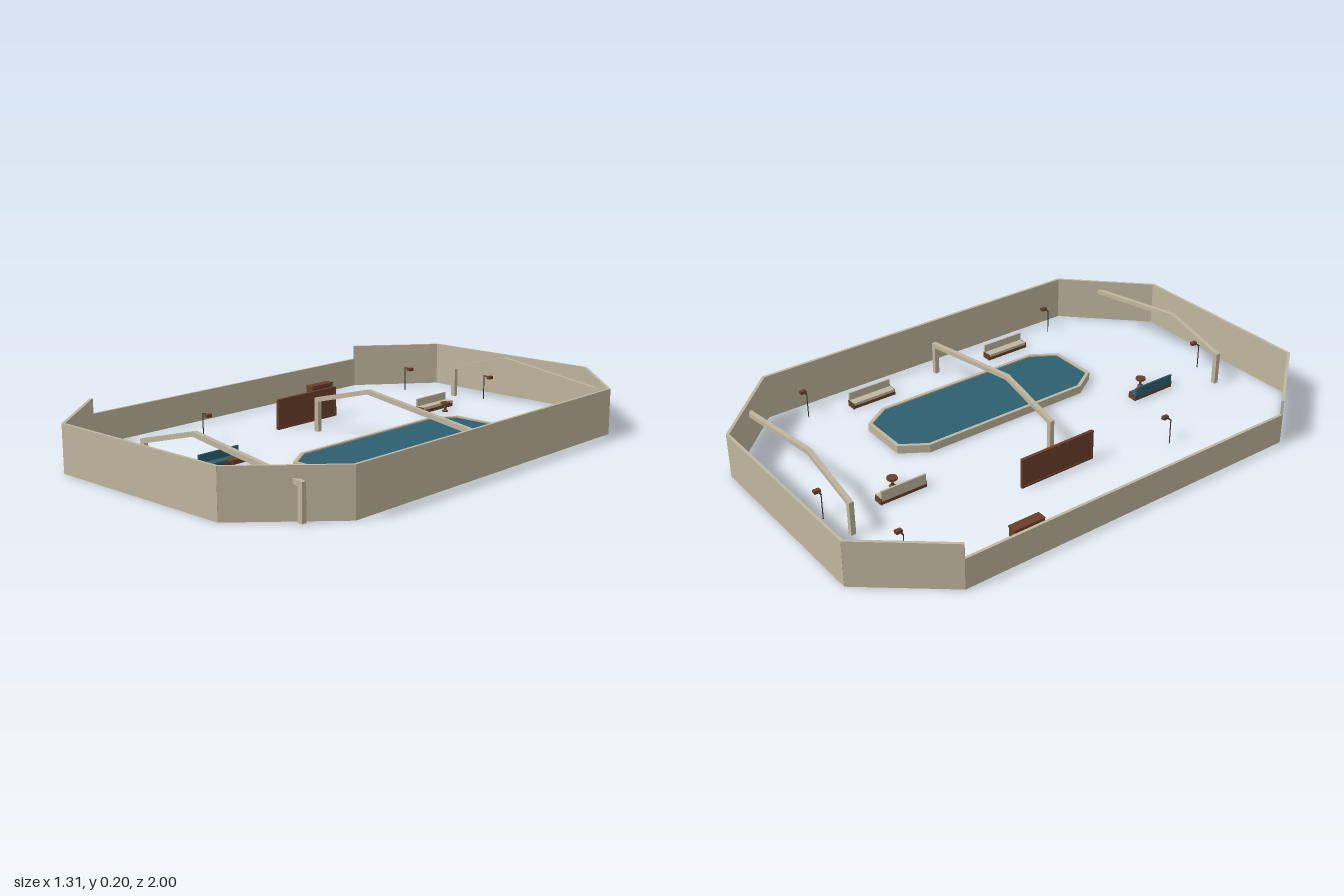
import * as THREE from 'three';

export function createModel() {
  const root = new THREE.Group();
  root.name = 'courtyard';
  const mat = (name, color) => {
    const m = new THREE.MeshStandardMaterial({ color });
    m.name = name;
    return m;
  };
  const stone = mat('beige stone', 0xc0b69e);
  const teal = mat('teal', 0x2d6070);
  const wood = mat('brown wood', 0x6b3f29);
  const dark = mat('dark metal', 0x3a342e);

  const add = (parent, name, geo, m, x = 0, y = 0, z = 0) => {
    const mesh = new THREE.Mesh(geo, m);
    mesh.name = name;
    mesh.position.set(x, y, z);
    parent.add(mesh);
    return mesh;
  };
  // Box placed by its base height
  const box = (parent, name, m, w, h, d, x, y, z) =>
    add(parent, name, new THREE.BoxGeometry(w, h, d), m, x, y + h / 2, z);
  const group = (name, x = 0, z = 0) => {
    const g = new THREE.Group();
    g.name = name;
    g.position.set(x, 0, z);
    root.add(g);
    return g;
  };

  // Octagonal boundary wall; the -x side is lower
  const ring = [[-0.41, -0.994], [0.36, -0.994], [0.648, -0.705], [0.648, 0.705],
    [0.36, 0.994], [-0.41, 0.994], [-0.648, 0.705], [-0.648, -0.705]];
  const wall = group('boundaryWall');
  ring.forEach(([x, z], i) => {
    const [x2, z2] = ring[(i + 1) % ring.length];
    const len = Math.hypot(x2 - x, z2 - z);
    const panel = box(wall, 'wallPanel', stone, len + 0.004, i === 6 ? 0.118 : 0.175, 0.011,
      (x + x2) / 2, 0, (z + z2) / 2);
    panel.rotation.y = -Math.atan2(z2 - z, x2 - x);
  });

  // Pool with chamfered corners
  const octagon = (inset, Type) => {
    const w = 0.1635 - inset, l = 0.453 - inset;
    const cx = 0.065 - inset * 0.45, cz = 0.1 - inset * 0.6;
    const pts = [[-w + cx, -l], [w - cx, -l], [w, -l + cz], [w, l - cz],
      [w - cx, l], [-w + cx, l], [-w, l - cz], [-w, -l + cz]];
    return new Type(pts.map(([x, y]) => new THREE.Vector2(x, y)));
  };
  const slab = (shape, depth) =>
    new THREE.ExtrudeGeometry(shape, { depth, bevelEnabled: false }).rotateX(-Math.PI / 2);
  const pool = group('pool', 0.2315, 0);
  const rim = octagon(0, THREE.Shape);
  rim.holes.push(octagon(0.013, THREE.Path));
  add(pool, 'poolRim', slab(rim, 0.032), stone);
  add(pool, 'poolFloor', slab(octagon(0.012, THREE.Shape), 0.018), stone);
  add(pool, 'water', slab(octagon(0.013, THREE.Shape), 0.005), teal, 0, 0.022, 0);

  // Three bent arches, each swept from one foot to the other
  const path = [[-0.187, 0], [-0.187, 0.121], [0.07, 0.191], [0.55, 0.121], [0.55, 0]];
  const archShape = new THREE.Shape();
  const outer = [[-0.197, 0], [-0.197, 0.13], [0.07, 0.2], [0.56, 0.13], [0.56, 0]];
  const inner = [[0.541, 0], [0.541, 0.115], [0.07, 0.183], [-0.178, 0.117], [-0.178, 0]];
  [...outer, ...inner].forEach(([x, y], i) => (i ? archShape.lineTo(x, y) : archShape.moveTo(x, y)));
  for (const z of [-0.835, 0, 0.832]) {
    const geo = new THREE.ExtrudeGeometry(archShape, { depth: 0.018, bevelEnabled: false });
    geo.translate(0, 0, -0.009);
    add(root, 'arch', geo, stone, 0, 0, z);
  }

  // Benches; side gives the direction of the backrest
  const bench = (x, z, side, m) => {
    const g = group('bench', x, z);
    box(g, 'benchBase', wood, 0.036, 0.014, 0.18, 0, 0, 0);
    box(g, 'seat', m, 0.04, 0.011, 0.182, 0, 0.014, 0);
    box(g, 'backrest', m, 0.007, 0.03, 0.182, side * 0.0165, 0.025, 0);
    for (const s of [-1, 1]) box(g, 'benchEnd', wood, 0.04, 0.024, 0.004, 0, 0, s * 0.092);
  };
  bench(-0.09, -0.58, -1, stone);
  bench(-0.09, 0.577, -1, teal);
  bench(0.517, -0.323, 1, stone);
  bench(0.517, 0.32, 1, stone);

  // Round tables beside the inner benches
  for (const z of [-0.58, 0.577]) {
    const g = group('roundTable', -0.033, z);
    const profile = [[0, 0], [0.012, 0], [0.012, 0.004], [0.005, 0.008], [0.005, 0.03],
      [0.02, 0.031], [0.02, 0.038], [0, 0.038]].map(([x, y]) => new THREE.Vector2(x, y));
    const geo = new THREE.LatheGeometry(profile, 12).toNonIndexed();
    geo.computeVertexNormals();
    add(g, 'table', geo, wood);
  }

  // Lamp posts with an arm towards +x
  const lamps = [[-0.385, -0.775], [-0.03, -0.87], [0.58, -0.582],
    [0.58, 0.575], [-0.03, 0.864], [-0.385, 0.38]];
  for (const [x, z] of lamps) {
    const g = group('lamp', x, z);
    add(g, 'lampPole', new THREE.CylinderGeometry(0.002, 0.002, 0.1, 6), dark, -0.027, 0.05, 0);
    box(g, 'lampArm', dark, 0.03, 0.004, 0.004, -0.014, 0.097, 0);
    box(g, 'lampHead', wood, 0.016, 0.012, 0.024, 0.003, 0.09, 0);
  }

  // Standing notice board with a raised frame
  const board = group('noticeBoard', -0.315, -0.07);
  box(board, 'boardPanel', wood, 0.007, 0.11, 0.312, 0, 0.004, 0);
  for (const y of [0, 0.11]) box(board, 'boardRail', wood, 0.012, 0.008, 0.32, 0, y, 0);
  for (const s of [-1, 1]) box(board, 'boardStile', wood, 0.012, 0.118, 0.008, 0, 0, s * 0.156);

  // Low cabinet by the -x wall
  const cabinet = group('cabinet', -0.557, -0.392);
  box(cabinet, 'cabinetBody', wood, 0.034, 0.064, 0.122, 0, 0, 0);
  box(cabinet, 'cabinetTop', wood, 0.038, 0.005, 0.126, 0, 0.063, 0);

  return root;
}
